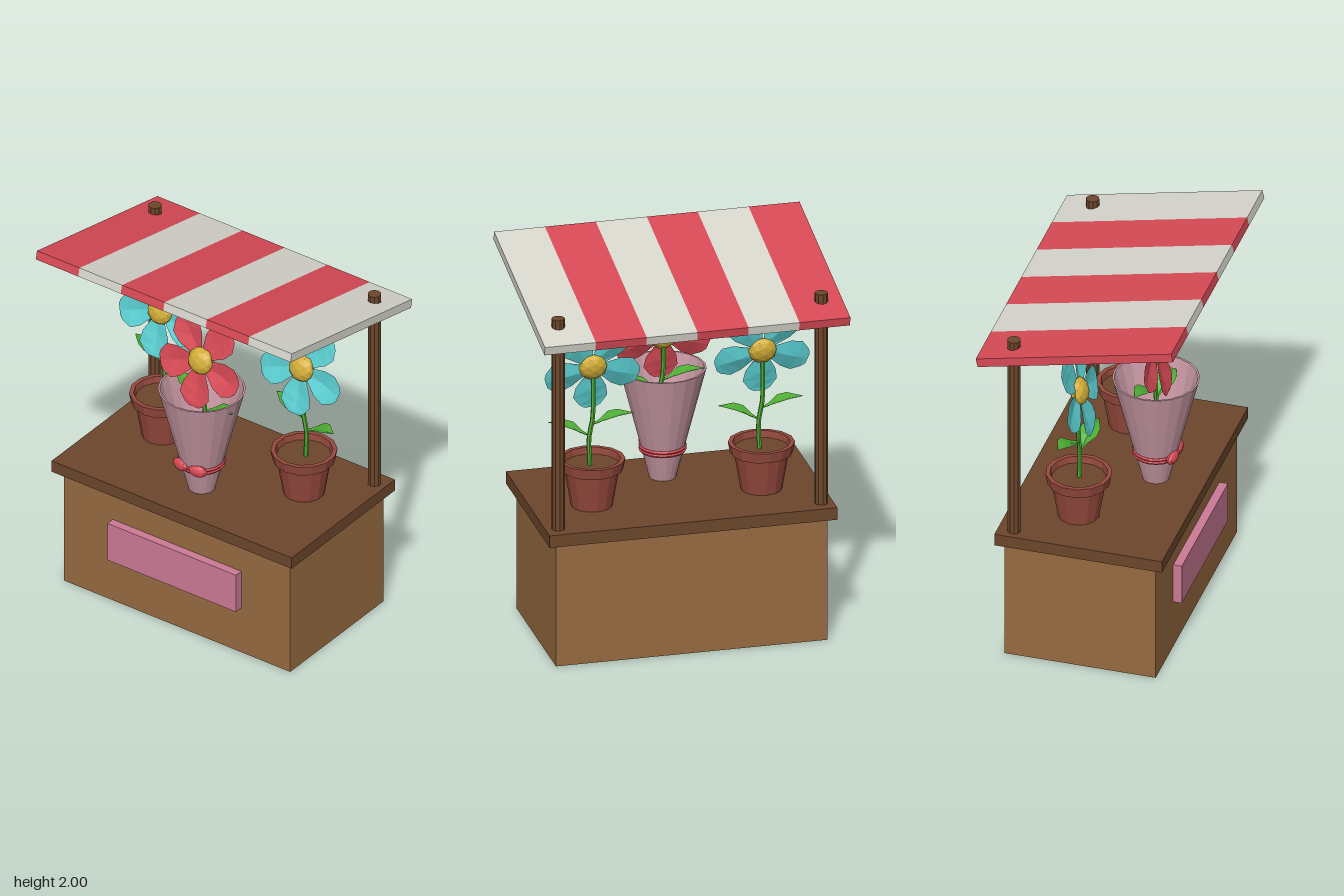
import * as THREE from 'three';

const mat = (name, color, side = THREE.FrontSide) =>
  new THREE.MeshStandardMaterial({ name, color, side, flatShading: true });

const M = {
  red: mat('red', 0xd84a55, THREE.DoubleSide),
  white: mat('off white', 0xd8d7ce),
  wood: mat('light wood', 0x986b41),
  darkWood: mat('dark wood', 0x6c462b),
  clay: mat('clay', 0x95493c),
  sign: mat('sign pink', 0xcc7a95),
  vase: mat('vase pink', 0xc898a4),
  cyan: mat('turquoise', 0x5bd0d3, THREE.DoubleSide),
  yellow: mat('yellow', 0xd3ae38),
  green: mat('green', 0x4fae35, THREE.DoubleSide),
};

function add(parent, name, geometry, material, x = 0, y = 0, z = 0) {
  const mesh = new THREE.Mesh(geometry, material);
  mesh.name = name;
  mesh.position.set(x, y, z);
  parent.add(mesh);
  return mesh;
}

function group(parent, name, x = 0, y = 0, z = 0) {
  const g = new THREE.Group();
  g.name = name;
  g.position.set(x, y, z);
  parent.add(g);
  return g;
}

const lathe = (points, sides) =>
  new THREE.LatheGeometry(points.map(([r, y]) => new THREE.Vector2(r, y)), sides);

// Creased blade along +x: each row is [distance, half width, spine lift, edge lift]
function blade(rows) {
  const pos = [], index = [];
  rows.forEach(([d, w, spine, edge]) => pos.push(d, w, edge, d, 0, spine, d, -w, edge));
  for (let i = 0; i < rows.length - 1; i++) {
    for (let j = 0; j < 2; j++) {
      const a = i * 3 + j, b = a + 3;
      index.push(a, a + 1, b, a + 1, b + 1, b);
    }
  }
  const g = new THREE.BufferGeometry();
  g.setAttribute('position', new THREE.Float32BufferAttribute(pos, 3));
  g.setIndex(index);
  g.computeVertexNormals();
  return g;
}

const petalShape = blade([
  [0.03, 0.025, 0, 0], [0.13, 0.078, -0.008, 0.01],
  [0.19, 0.088, -0.004, 0.01], [0.235, 0.055, 0, 0.004], [0.25, 0.03, 0, 0],
]);
const leafShape = blade([
  [0, 0.006, 0, 0.004], [0.05, 0.02, 0, 0.01], [0.1, 0.056, 0.008, 0.022],
  [0.15, 0.05, 0.006, 0.018], [0.225, 0.002, -0.012, -0.01],
]);

// Stem, two leaves and a five-petalled flower leaning back
function plant(parent, name, x, z, baseY, flowerY, leafY, petalMaterial) {
  const g = group(parent, name, x, 0, z);
  const path = new THREE.CatmullRomCurve3([
    [0.018, baseY], [0.022, leafY], [0.004, leafY + 0.1], [0, flowerY - 0.02],
  ].map(([px, py]) => new THREE.Vector3(px, py, 0)));
  add(g, 'stem', new THREE.TubeGeometry(path, 12, 0.012, 6), M.green);

  const leaves = [['leftLeaf', -0.2, 0.42, 0], ['rightLeaf', Math.PI - 0.22, 0.36, 0.06]];
  for (const [leafName, yaw, tilt, rise] of leaves) {
    const leaf = add(g, leafName, leafShape, M.green, 0.015, leafY + rise, 0);
    leaf.rotation.set(-Math.PI / 2, yaw, tilt, 'YZX');
  }

  const flower = group(g, 'flower', 0, flowerY, 0);
  flower.rotation.x = -0.25;
  for (let i = 0; i < 5; i++) {
    const petal = add(flower, 'petal', petalShape, petalMaterial, 0, 0, 0.008);
    petal.rotation.z = -Math.PI / 2 + (i * Math.PI * 2) / 5;
  }
  const heart = add(flower, 'flowerCentre', new THREE.IcosahedronGeometry(0.073, 1), M.yellow, 0, 0, 0.008);
  heart.scale.z = 0.6;
}

export function createModel() {
  const model = new THREE.Group();
  model.name = 'flowerStall';

  // Counter
  add(model, 'counterBase', new THREE.BoxGeometry(1.4, 0.66, 0.79), M.wood, 0, 0.33, 0.005);
  add(model, 'counterTop', new THREE.BoxGeometry(1.485, 0.065, 0.875), M.darkWood, 0, 0.6925, 0.008);
  add(model, 'signBoard', new THREE.BoxGeometry(0.795, 0.22, 0.045), M.sign, 0, 0.375, 0.4225);

  // Posts
  for (const x of [-0.68, 0.677]) {
    add(model, 'post', new THREE.CylinderGeometry(0.034, 0.034, 1.14, 10), M.darkWood, x, 1.29, -0.345);
  }

  // Striped awning, high at the front
  const awning = group(model, 'awning', 0, 1.8675, 0.002);
  awning.rotation.x = -0.212;
  const stripe = 1.576 / 6;
  for (let i = 0; i < 6; i++) {
    add(awning, 'awningStripe', new THREE.BoxGeometry(stripe, 0.047, 1.043),
      i % 2 ? M.white : M.red, (i - 2.5) * stripe, 0, 0);
  }

  // Potted flowers
  const potShape = lathe([
    [0, 0], [0.105, 0], [0.138, 0.195], [0.158, 0.195], [0.168, 0.25],
    [0.145, 0.25], [0.138, 0.2],
  ], 14);
  for (const x of [-0.44, 0.435]) {
    const pot = group(model, 'pot', x, 0.725, -0.08);
    add(pot, 'potShell', potShape, M.clay);
    add(pot, 'soil', new THREE.CylinderGeometry(0.139, 0.135, 0.02, 14), M.darkWood, 0, 0.205, 0);
    plant(model, 'turquoiseFlower', x - 0.008, -0.08, 0.92, 1.462, 1.09, M.cyan);
  }

  // Tall vase with a ribbon and bow
  const vase = group(model, 'vase', 0, 0.725, 0.19);
  add(vase, 'vaseShell', lathe([
    [0, 0], [0.068, 0], [0.22, 0.59], [0.21, 0.59], [0.062, 0.03], [0, 0.03],
  ], 20), M.vase);
  for (const y of [0.153, 0.169]) {
    const ribbon = add(vase, 'ribbon', new THREE.TorusGeometry(0.11, 0.011, 6, 20), M.red, 0, y, 0);
    ribbon.rotation.x = Math.PI / 2;
  }
  for (const side of [-1, 1]) {
    const loop = add(vase, 'bowLoop', new THREE.SphereGeometry(1, 10, 7), M.red, side * 0.053 - 0.002, 0.168, 0.104);
    loop.scale.set(0.052, 0.033, 0.024);
    loop.rotation.y = side * 0.2;
  }
  plant(model, 'redFlower', -0.004, 0.185, 0.745, 1.478, 1.18, M.red);

  return model;
}
